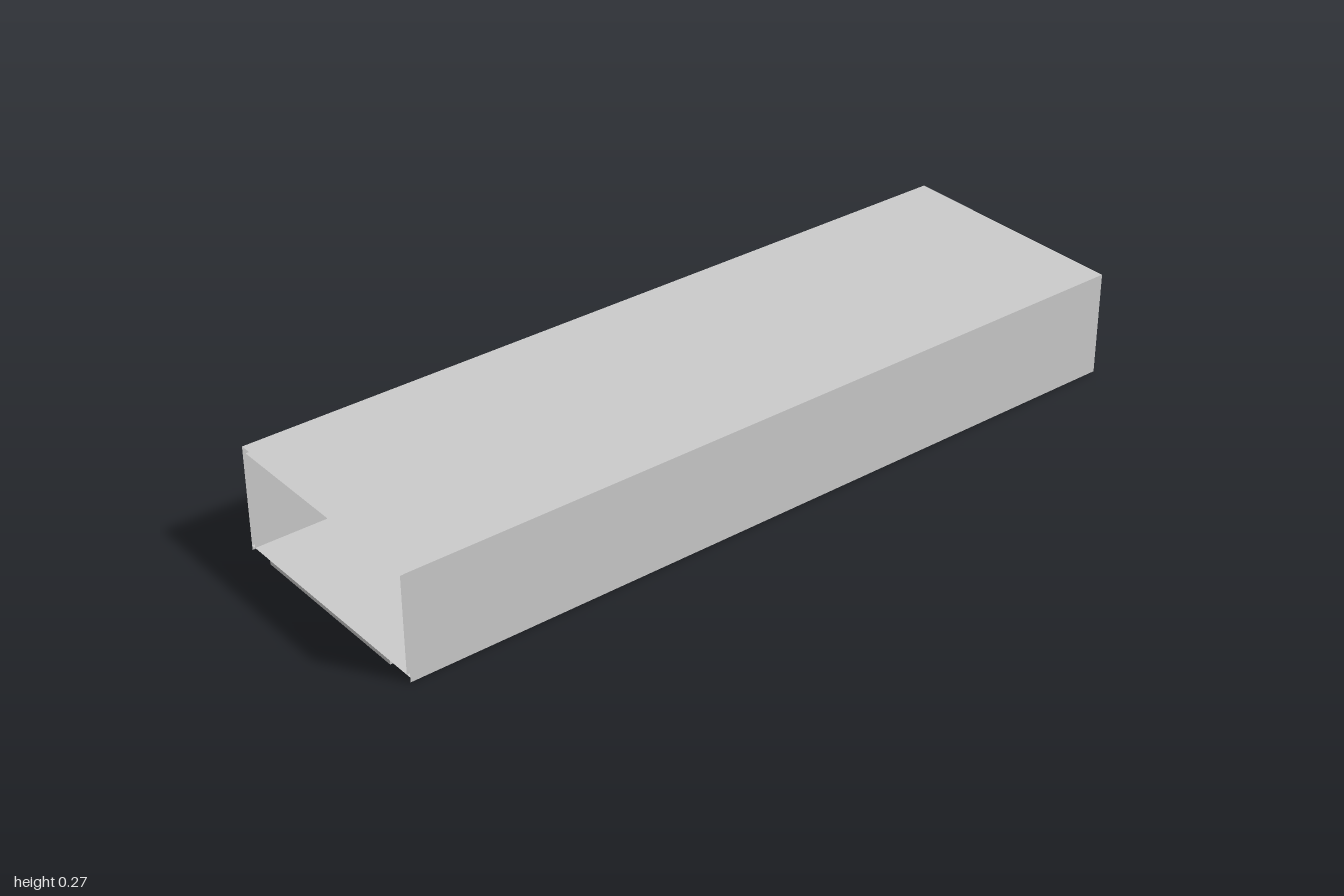
import * as THREE from 'three';

const material = new THREE.MeshStandardMaterial({ color: 0xcccccc, side: THREE.DoubleSide, flatShading: true });
const LENGTH = 2, HALF = LENGTH / 2;

// Sweep an open cross-section [x, y] straight along z, leaving the ends open
function sheet(name, profile) {
  const pos = [], index = [];
  for (let i = 0; i < profile.length - 1; i++) {
    const [a, b] = [profile[i], profile[i + 1]];
    pos.push(...a, HALF, ...a, -HALF, ...b, -HALF, ...b, HALF);
    const k = i * 4;
    index.push(k, k + 1, k + 2, k, k + 2, k + 3);
  }
  const g = new THREE.BufferGeometry();
  g.setAttribute('position', new THREE.Float32BufferAttribute(pos, 3));
  g.setIndex(index);
  g.computeVertexNormals();
  const mesh = new THREE.Mesh(g, material);
  mesh.name = name;
  return mesh;
}

// Guide rail: plan outline with a chamfered front inner corner, raised in y
function rail(side) {
  const plan = [[0.297, -1], [0.266, -1], [0.266, -0.006], [0.272, 0], [0.297, 0]];
  const shape = new THREE.Shape(plan.map(([x, z]) => new THREE.Vector2(x * side, -z)));
  const g = new THREE.ExtrudeGeometry(shape, { depth: 0.046, bevelEnabled: false });
  g.rotateX(-Math.PI / 2).translate(0, 0.012, 0);
  const mesh = new THREE.Mesh(g, material);
  mesh.name = side > 0 ? 'leftRail' : 'rightRail';
  return mesh;
}

export function createModel() {
  const group = new THREE.Group();
  group.name = 'openSleeve';

  // Double-skinned sleeve, open at both ends
  group.add(sheet('outerShell', [[-0.31, 0], [-0.31, 0.267], [0.31, 0.267], [0.31, 0]]));
  group.add(sheet('innerShell', [[0.297, 0.012], [0.297, 0.256], [-0.297, 0.256], [-0.297, 0.012]]));

  // Bottom plate
  const plate = new THREE.Mesh(new THREE.BoxGeometry(0.47, 0.01, LENGTH), material);
  plate.name = 'bottomPlate';
  plate.position.y = 0.007;
  group.add(plate);

  // Floor strips between plate and walls, and the guide rails on them
  for (const side of [1, -1]) {
    group.add(sheet(side > 0 ? 'leftFloorStrip' : 'rightFloorStrip',
      side > 0 ? [[0.235, 0.012], [0.31, 0.012]] : [[-0.31, 0.012], [-0.235, 0.012]]));
    group.add(rail(side));
  }
  return group;
}
